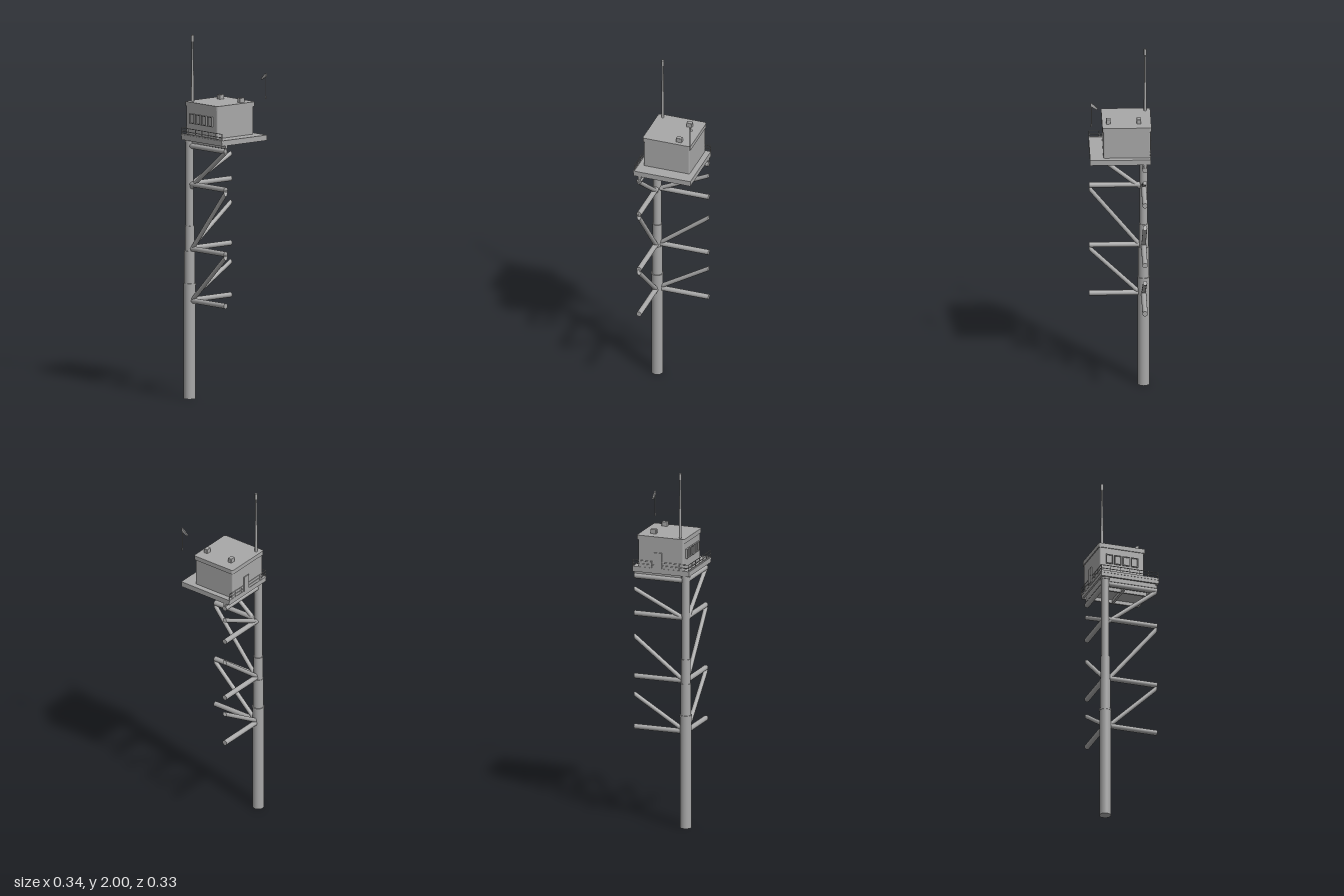
import * as THREE from 'three';
import { RoundedBoxGeometry } from 'three/addons/geometries/RoundedBoxGeometry.js';

const grey = new THREE.MeshStandardMaterial({ color: 0xa8a8a8 });
grey.name = 'steel grey';
const LEG = new THREE.Vector3(-0.132, 0, 0.132);
const EDGE_X = 0.165, EDGE_Z = -0.167;
const UP = new THREE.Vector3(0, 1, 0);

export function createModel() {
  const model = new THREE.Group();
  model.name = 'platformCorner';

  const add = (name, geometry, parent = model) => {
    const mesh = new THREE.Mesh(geometry, grey);
    mesh.name = name;
    parent.add(mesh);
    return mesh;
  };
  // Box given by its minimum and maximum corners
  const box = (name, x0, y0, z0, x1, y1, z1, parent) =>
    add(name, new THREE.BoxGeometry(x1 - x0, y1 - y0, z1 - z0), parent)
      .position.set((x0 + x1) / 2, (y0 + y1) / 2, (z0 + z1) / 2);
  // Upright round section
  const post = (name, x, z, y0, y1, r0, r1 = r0, parent, sides = 24) =>
    add(name, new THREE.CylinderGeometry(r1, r0, y1 - y0, sides), parent).position.set(x, (y0 + y1) / 2, z);
  // Tube between two points; cutAxis trims its far end flat in that axis
  const strut = (name, a, b, r, parent, cutAxis, sides = 16) => {
    const dir = b.clone().sub(a), length = dir.length();
    dir.normalize();
    const g = new THREE.CylinderGeometry(r, r, length, sides);
    const far = Array.from({ length: g.attributes.position.count }, (_, i) => g.attributes.position.getY(i) > 0);
    g.applyQuaternion(new THREE.Quaternion().setFromUnitVectors(UP, dir));
    g.translate(...a.clone().add(b).multiplyScalar(0.5).toArray());
    if (cutAxis) {
      const p = g.attributes.position, v = new THREE.Vector3();
      far.forEach((isFar, i) => {
        if (!isFar) return;
        v.fromBufferAttribute(p, i);
        v.addScaledVector(dir, (b[cutAxis] - v[cutAxis]) / dir[cutAxis]);
        p.setXYZ(i, v.x, v.y, v.z);
      });
    }
    return add(name, g, parent);
  };
  const V = (x, y, z) => new THREE.Vector3(x, y, z);

  // Stepped leg with collars
  const leg = new THREE.Group();
  leg.name = 'leg';
  model.add(leg);
  [[0, 0.63, 0.032], [0.63, 0.81, 0.029], [0.81, 0.95, 0.026], [0.95, 1.43, 0.022]].forEach(([y0, y1, r]) =>
    post('legSection', LEG.x, LEG.z, y0, y1, r, r, leg, 32));
  [[0.632, 0.034], [0.81, 0.029], [0.948, 0.026], [1.42, 0.025]].forEach(([y, r]) =>
    post('legCollar', LEG.x, LEG.z, y - 0.005, y + 0.005, r, r, leg, 32));

  // Horizontal and diagonal bracing on two faces
  const bracing = new THREE.Group();
  bracing.name = 'bracing';
  model.add(bracing);
  [1.394, 1.183, 0.828, 0.542].forEach((y) => {
    strut('horizontalBraceX', V(LEG.x, y, LEG.z), V(EDGE_X, y, LEG.z), 0.0145, bracing);
    strut('horizontalBraceZ', V(LEG.x, y, LEG.z), V(LEG.x, y, EDGE_Z), 0.0145, bracing);
  });
  [[1.155, 1.39, 1.32], [0.80, 1.165, 1.052], [0.522, 0.81, 0.725]].forEach(([y, yx, yz]) => {
    strut('diagonalBraceX', V(LEG.x, y, LEG.z), V(EDGE_X, yx, LEG.z), 0.012, bracing, 'x');
    strut('diagonalBraceZ', V(LEG.x, y + 0.02, LEG.z), V(LEG.x, yz, EDGE_Z), 0.012, bracing, 'z');
  });

  // Deck plate with edge frame and underside beams
  const deck = new THREE.Group();
  deck.name = 'deck';
  model.add(deck);
  box('deckPlate', -0.165, 1.446, EDGE_Z, 0.167, 1.456, 0.165, deck);
  box('frontEdgeBeam', -0.163, 1.426, 0.153, 0.167, 1.446, 0.163, deck);
  box('backEdgeBeam', -0.163, 1.426, EDGE_Z, 0.167, 1.446, -0.157, deck);
  box('leftEdgeBeam', -0.163, 1.426, -0.157, -0.153, 1.446, 0.153, deck);
  box('rightEdgeBeam', 0.157, 1.426, -0.157, 0.167, 1.446, 0.153, deck);
  box('frontGirder', -0.14, 1.41, 0.12, 0.167, 1.446, 0.135, deck);
  box('sideGirder', -0.14, 1.41, EDGE_Z, -0.125, 1.446, 0.12, deck);
  box('middleGirderX', -0.125, 1.426, -0.022, 0.157, 1.446, -0.01, deck);
  box('middleGirderZ', 0.01, 1.426, -0.157, 0.022, 1.446, 0.12, deck);

  // Railing on the two outer edges
  const railing = new THREE.Group();
  railing.name = 'railing';
  model.add(railing);
  [1.473, 1.492].forEach((y) => {
    strut('frontRail', V(-0.163, y, 0.159), V(0.166, y, 0.159), 0.0022, railing, null, 8);
    strut('sideRail', V(-0.163, y, EDGE_Z), V(-0.163, y, 0.159), 0.0022, railing, null, 8);
  });
  box('frontToeBoard', -0.163, 1.456, 0.158, 0.166, 1.462, 0.16, railing);
  for (let i = 0; i < 7; i++) {
    const t = i / 6;
    post('frontRailPost', -0.163 + 0.327 * t, 0.159, 1.455, 1.493, 0.0022, 0.0022, railing, 8);
    if (i < 6) post('sideRailPost', -0.163, -0.165 + 0.324 * t, 1.455, 1.493, 0.0022, 0.0022, railing, 8);
  }

  // Rounded slab for the cabin walls and roof
  const slab = (name, x0, x1, z0, z1, y0, y1, r, parent) => {
    const s = new THREE.Shape();
    s.absarc(x1 - r, -z0 - r, r, 0, Math.PI / 2);
    s.absarc(x0 + r, -z0 - r, r, Math.PI / 2, Math.PI);
    s.absarc(x0 + r, -z1 + r, r, Math.PI, Math.PI * 1.5);
    s.absarc(x1 - r, -z1 + r, r, Math.PI * 1.5, Math.PI * 2);
    const g = new THREE.ExtrudeGeometry(s, { depth: y1 - y0, bevelEnabled: false, curveSegments: 6 });
    g.rotateX(-Math.PI / 2);
    add(name, g, parent).position.y = y0;
  };
  const cabin = new THREE.Group();
  cabin.name = 'cabin';
  model.add(cabin);
  slab('cabinWalls', -0.163, 0.094, -0.136, 0.13, 1.455, 1.612, 0.008, cabin);
  slab('cabinRoof', -0.168, 0.1, -0.142, 0.135, 1.61, 1.635, 0.012, cabin);

  // Front windows: four framed panes
  for (let i = 0; i < 4; i++) {
    const x = -0.108 + i * 0.0485, y0 = 1.52, y1 = 1.57, w = 0.0175;
    box('windowPane', x - w, y0, 0.129, x + w, y1, 0.132, cabin);
    for (const s of [-1, 1]) {
      box('windowFrameSide', x + s * w - 0.002, y0, 0.129, x + s * w + 0.002, y1, 0.139, cabin);
      const y = s < 0 ? y0 : y1;
      box('windowFrameRail', x - w - 0.002, y - 0.002, 0.129, x + w + 0.002, y + 0.002, 0.139, cabin);
    }
  }

  // Side door with handle
  box('door', -0.169, 1.457, -0.04, -0.162, 1.545, 0.004, cabin);
  box('doorHandle', -0.171, 1.497, -0.004, -0.168, 1.503, 0.001, cabin);

  // Roof vents
  for (const x of [-0.101, 0.065]) {
    const vent = add('roofVent', new RoundedBoxGeometry(0.024, 0.03, 0.032, 2, 0.003), cabin);
    vent.position.set(x, 1.645, -0.067);
  }

  // Stepped antenna mast
  const mast = new THREE.Group();
  mast.name = 'mast';
  model.add(mast);
  [[1.63, 1.80, 0.008, 0.007], [1.80, 1.965, 0.006, 0.005], [1.965, 2, 0.008, 0.008]].forEach(([y0, y1, a, b]) =>
    post('mastSection', -0.14, 0.103, y0, y1, a, b, mast, 16));

  // Hoist: boom tip, hanging line and hook block
  const hoist = new THREE.Group();
  hoist.name = 'hoist';
  model.add(hoist);
  const tip = new THREE.Shape([[0.125, 1.762], [0.131, 1.757], [0.165, 1.778], [0.166, 1.797], [0.155, 1.793]]
    .map(([x, y]) => new THREE.Vector2(x, y)));
  add('boomTip', new THREE.ExtrudeGeometry(tip, { depth: 0.007, bevelEnabled: false }), hoist).position.z = EDGE_Z;
  post('hoistLine', 0.161, -0.163, 1.66, 1.78, 0.0025, 0.0025, hoist, 8);
  post('hookBlock', 0.162, -0.163, 1.655, 1.67, 0.004, 0.004, hoist, 8);

  return model;
}
